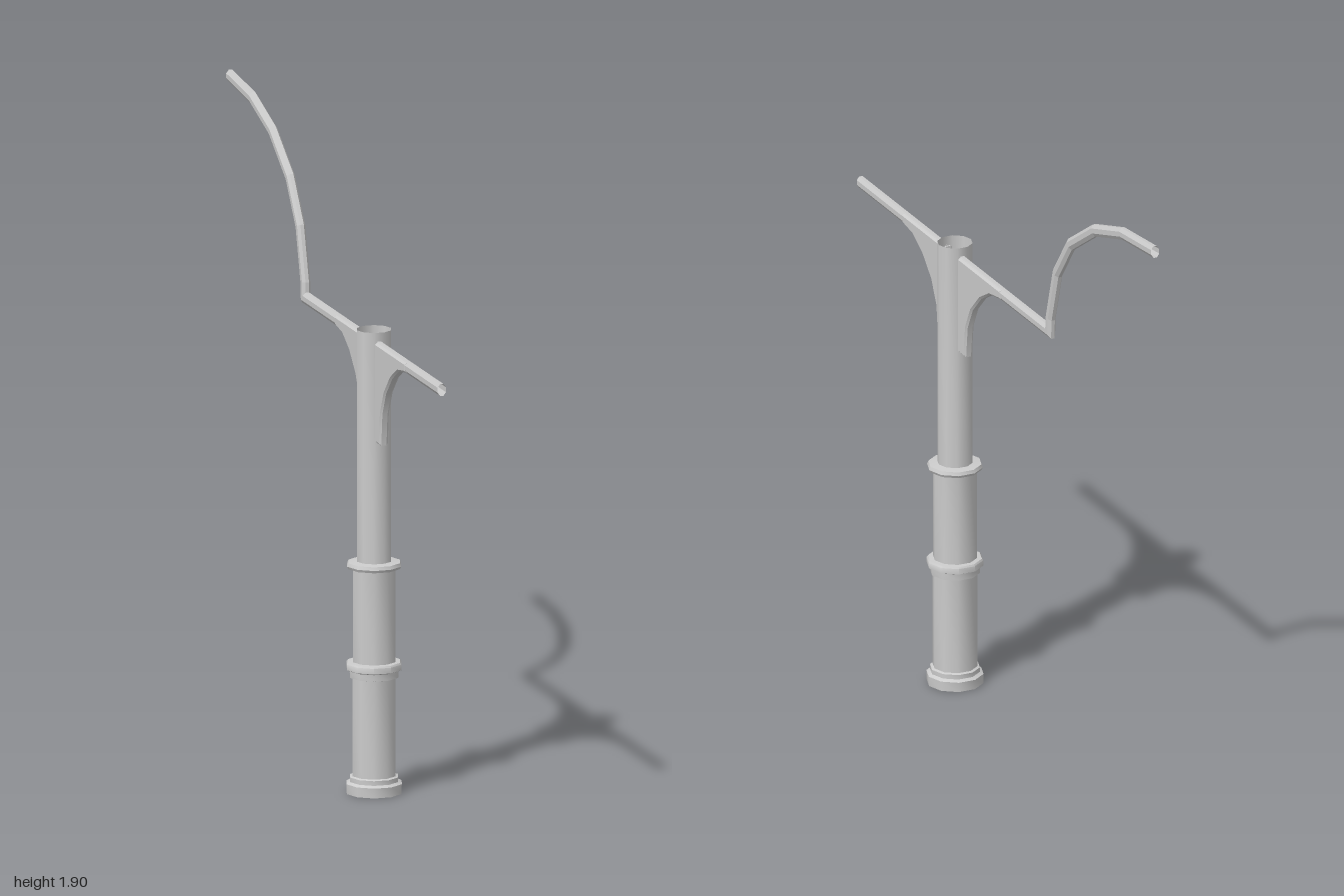
import * as THREE from 'three';
import { toCreasedNormals } from 'three/addons/utils/BufferGeometryUtils.js';

const POST_Z = 0.36;
const smoothMetal = new THREE.MeshStandardMaterial({ color: 0xcccccc, side: THREE.DoubleSide });
const flatMetal = new THREE.MeshStandardMaterial({ color: 0xcccccc, side: THREE.DoubleSide, flatShading: true });

function add(group, name, geometry, material) {
  const mesh = new THREE.Mesh(geometry, material);
  mesh.name = name;
  group.add(mesh);
  return mesh;
}

// Ten-sided hollow turned part, with a corner on the x axis
function turned(group, name, profile) {
  const points = profile.map(([r, y]) => new THREE.Vector2(r, y));
  const geometry = toCreasedNormals(new THREE.LatheGeometry(points, 10, Math.PI / 2), 0.7);
  add(group, name, geometry, smoothMetal).position.z = POST_Z;
}

// Open tube with mitred joints along a [z, y] path
function mitredTube(path, halfWidth = 0.013, halfHeight = 0.018, sides = 8) {
  const pts = path.map(([z, y]) => new THREE.Vector2(z, y));
  const positions = [], index = [];
  const grow = 1 / Math.cos(Math.PI / sides);
  pts.forEach((p, j) => {
    const into = p.clone().sub(pts[Math.max(j - 1, 0)]).normalize();
    const out = pts[Math.min(j + 1, pts.length - 1)].clone().sub(p).normalize();
    const t = into.clone().add(out).normalize();
    const miter = j > 0 && j < pts.length - 1 ? 1 / t.dot(out) : 1;
    for (let i = 0; i < sides; i++) {
      const a = ((i + 0.5) / sides) * Math.PI * 2;
      const h = Math.sin(a) * halfHeight * grow * miter;
      positions.push(Math.cos(a) * halfWidth * grow, p.y - t.x * h, p.x + t.y * h);
      if (j < pts.length - 1) {
        const k = j * sides + i, n = j * sides + ((i + 1) % sides);
        index.push(k, k + sides, n, n, k + sides, n + sides);
      }
    }
  });
  const geometry = new THREE.BufferGeometry();
  geometry.setAttribute('position', new THREE.Float32BufferAttribute(positions, 3));
  geometry.setIndex(index);
  geometry.computeVertexNormals();
  return geometry;
}

// Curved web plate; shape x is the distance from the post axis
function bracketGeometry() {
  const shape = new THREE.Shape();
  [[0.048, 1.075], [0.09, 1.075], [0.1, 1.17], [0.135, 1.24], [0.195, 1.3],
    [0.26, 1.337], [0.33, 1.348], [0.33, 1.372], [0.048, 1.372]]
    .forEach(([u, y], i) => (i ? shape.lineTo(u, y) : shape.moveTo(u, y)));
  const geometry = new THREE.ExtrudeGeometry(shape, {
    depth: 0.016, bevelEnabled: true, bevelThickness: 0.006, bevelSize: 0.006,
    bevelOffset: -0.003, bevelSegments: 1,
  });
  return geometry.translate(0, 0, -0.008);
}

export function createModel() {
  const model = new THREE.Group();
  model.name = 'post';

  // Post, from the ground up
  turned(model, 'baseRing', [[0.085, 0], [0.086, 0.03], [0.075, 0.036], [0.075, 0.05], [0.067, 0.053]]);
  turned(model, 'lowerShaft', [[0.067, 0.04], [0.067, 0.36]]);
  turned(model, 'middleCollar', [[0.067, 0.35], [0.075, 0.352], [0.076, 0.372], [0.085, 0.376],
    [0.085, 0.393], [0.081, 0.398], [0.066, 0.399]]);
  turned(model, 'middleShaft', [[0.066, 0.39], [0.066, 0.69]]);
  turned(model, 'upperCollar', [[0.066, 0.68], [0.08, 0.682], [0.084, 0.69], [0.08, 0.7], [0.053, 0.703]]);
  turned(model, 'upperPole', [[0.053, 0.69], [0.053, 1.405]]);

  // Straight front arm, and back arm that turns up into a swept hook
  add(model, 'frontArm', mitredTube([[1, 1.36], [POST_Z + 0.05, 1.36]]), flatMetal);
  add(model, 'backArm', mitredTube([[POST_Z - 0.05, 1.36], [-0.287, 1.36], [-0.29, 1.405], [-0.337, 1.565],
    [-0.432, 1.692], [-0.595, 1.797], [-0.785, 1.857], [-1, 1.878]]), flatMetal);

  // Brackets under both arms
  for (const [name, turn] of [['frontBracket', -1], ['backBracket', 1]]) {
    const geometry = toCreasedNormals(bracketGeometry().rotateY(turn * Math.PI / 2), 0.5);
    add(model, name, geometry, smoothMetal).position.z = POST_Z;
  }
  return model;
}
